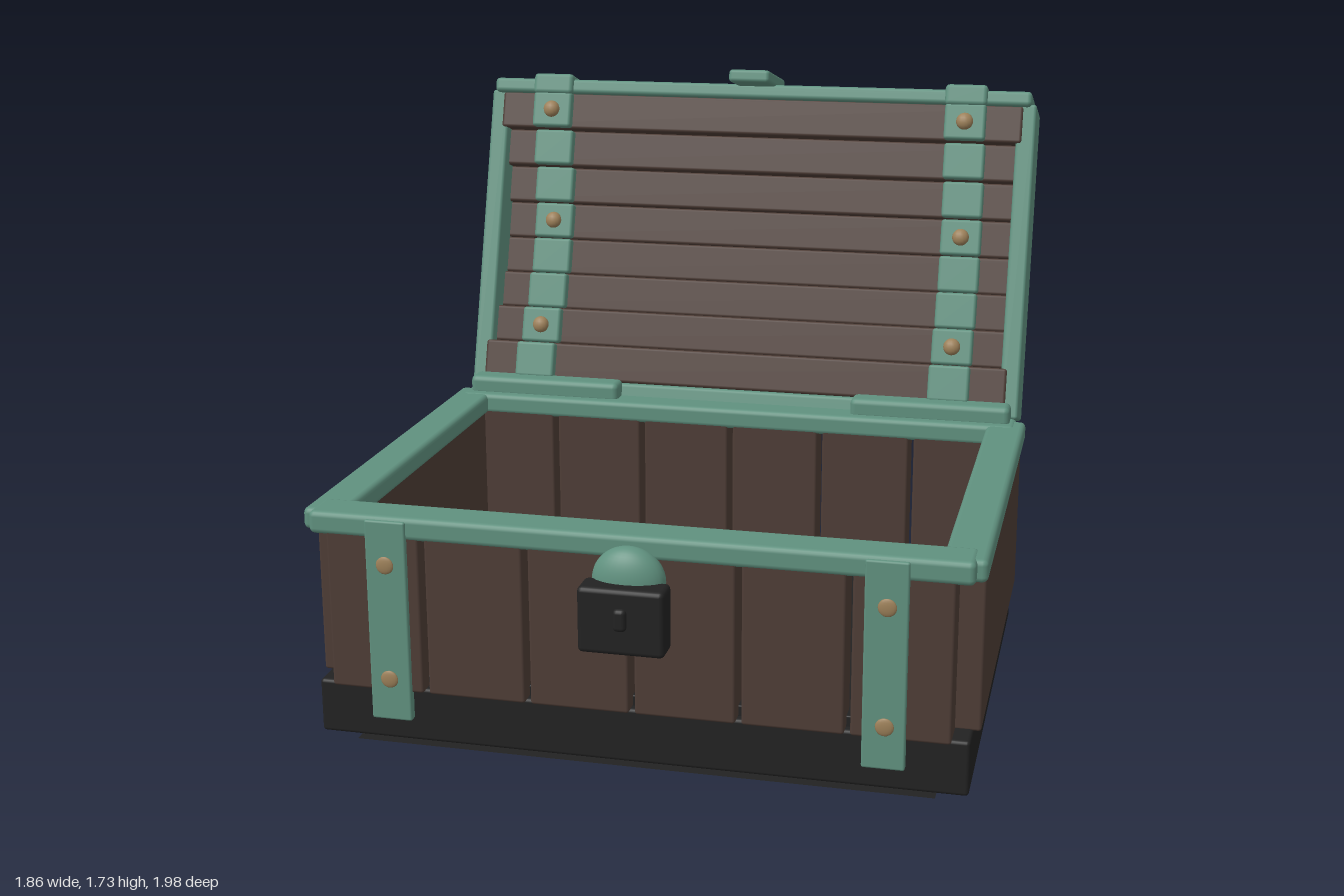
import * as THREE from 'three';
import { RoundedBoxGeometry } from 'three/addons/geometries/RoundedBoxGeometry.js';

const mat = (name, color, side = THREE.FrontSide) => {
  const m = new THREE.MeshStandardMaterial({ color, side });
  m.name = name;
  return m;
};

export function createModel() {
  const wood = mat('dark wood', 0x4e3d36);
  const trim = mat('green metal', 0x60917f);
  const black = mat('black', 0x222222, THREE.DoubleSide);
  const brass = mat('brass', 0x9c8059);
  const blue = mat('blue', 0x5da4b2, THREE.DoubleSide);

  const model = new THREE.Group();
  model.name = 'chest';
  const base = new THREE.Group();
  base.name = 'base';
  const lid = new THREE.Group();
  lid.name = 'lid';
  model.add(base, lid);

  const add = (parent, name, geo, m) => {
    const mesh = new THREE.Mesh(geo, m);
    mesh.name = name;
    parent.add(mesh);
    return mesh;
  };
  // softly bevelled box given by its limits on each axis
  const box = (parent, name, m, [x0, x1], [y0, y1], [z0, z1], r = 0.01) => {
    const w = x1 - x0, h = y1 - y0, d = z1 - z0;
    const geo = new RoundedBoxGeometry(w, h, d, 2, Math.min(r, w / 2.2, h / 2.2, d / 2.2));
    const mesh = add(parent, name, geo, m);
    mesh.position.set((x0 + x1) / 2, (y0 + y1) / 2, (z0 + z1) / 2);
    return mesh;
  };
  const rivet = (parent, x, y, z, r, depth) => {
    const mesh = add(parent, 'rivet', new THREE.SphereGeometry(r, 16, 10), brass);
    mesh.scale.z = depth / r;
    mesh.position.set(x, y, z);
  };

  // plinth, inner floor and underside sheet
  box(base, 'plinth', black, [-0.9, 0.9], [0.03, 0.185], [-0.425, 0.86]);
  box(base, 'floor', black, [-0.82, 0.82], [0.1, 0.215], [-0.4, 0.835], 0.004);
  const under = add(base, 'underside', new THREE.PlaneGeometry(1.62, 1.22), black);
  under.rotation.x = -Math.PI / 2;
  under.position.set(0, 0, 0.217);

  // blue oval lying on the floor
  const oval = add(base, 'floorOval', new THREE.CircleGeometry(1, 40), blue);
  oval.rotation.x = -Math.PI / 2;
  oval.scale.set(0.405, 0.225, 1);
  oval.position.set(0, 0.222, 0.207);

  // front and back planks, six each, with narrow gaps
  const edges = [-0.86, -0.58, -0.29, 0, 0.29, 0.58, 0.86];
  for (const z of [[0.78, 0.88], [-0.445, -0.345]]) {
    for (let i = 0; i < 6; i++) {
      box(base, 'wallPlank', wood, [edges[i] + 0.008, edges[i + 1] - 0.008], [0.18, 0.64], z, 0.008);
    }
  }

  for (const s of [-1, 1]) {
    const span = (a, b) => (s > 0 ? [a, b] : [-b, -a]);
    box(base, 'sideWall', wood, span(0.82, 0.92), [0.18, 0.64], [-0.345, 0.78], 0.008);
    box(base, 'sideRim', trim, span(0.81, 0.928), [0.62, 0.682], [-0.43, 0.855], 0.016);
    box(base, 'hingeBar', trim, span(0.38, 0.88), [0.67, 0.735], [-0.455, -0.375], 0.018);
    // vertical straps with flat rivets
    for (const [z, out] of [[[0.865, 0.893], 0.893], [[-0.458, -0.43], -0.458]]) {
      box(base, 'baseStrap', trim, span(0.62, 0.735), [0.1, 0.675], z, 0.006);
      for (const y of [0.22, 0.55]) rivet(base, s * 0.68, y, out, 0.025, 0.007);
    }
  }
  for (const z of [[0.762, 0.885], [-0.45, -0.342]]) {
    box(base, 'crossRim', trim, [-0.9, 0.9], [0.62, 0.685], z, 0.016);
  }

  // lock with domed shackle
  box(base, 'lockBody', black, [-0.117, 0.117], [0.39, 0.572], [0.9, 0.985], 0.014);
  const dome = add(base, 'lockDome',
    new THREE.SphereGeometry(1, 28, 12, 0, Math.PI * 2, 0, Math.PI / 2), trim);
  dome.scale.set(0.1, 0.095, 0.055);
  dome.position.set(0, 0.565, 0.89);
  box(base, 'keyhole', black, [-0.018, 0.018], [0.46, 0.522], [0.97, 0.998], 0.012);

  // lid, tilted back about the hinge: local y runs along it, -z is its outside
  lid.position.set(0, 0.69, -0.45);
  lid.rotation.x = -0.3;
  const outer = [-0.19, -0.235, -0.275, -0.297, -0.297, -0.275, -0.235, -0.19];
  const pitch = 0.1185, thick = 0.195;
  outer.forEach((z, i) => {
    const y = [0.03 + i * pitch, 0.03 + (i + 1) * pitch];
    const mid = (y[0] + y[1]) / 2;
    box(lid, 'lidStave', wood, [-0.86, 0.86], y, [z, z + thick], 0.01);
    for (const s of [-1, 1]) {
      const x = [s * 0.68 - 0.065, s * 0.68 + 0.065];
      const ys = [y[0] + 0.002, y[1] - 0.002];
      box(lid, 'outerStrap', trim, x, ys, [z - 0.03, z + 0.01]);
      box(lid, 'innerStrap', trim, x, ys, [z + thick - 0.01, z + thick + 0.03]);
      if (i === 1 || i === 4 || i === 7) {
        rivet(lid, s * 0.68, mid, z - 0.032, 0.027, 0.026);
        rivet(lid, s * 0.68, mid, z + thick + 0.032, 0.027, 0.02);
      }
    }
  });
  for (const s of [-1, 1]) {
    box(lid, 'lidEnd', trim, s > 0 ? [0.84, 0.9] : [-0.9, -0.84], [-0.01, 0.985], [-0.2, 0], 0.01);
    const x = [s * 0.68 - 0.067, s * 0.68 + 0.067];
    box(lid, 'strapCap', trim, x, [0.97, 1.037], [-0.235, 0.04], 0.014);
    box(lid, 'strapFoot', trim, x, [-0.045, 0.035], [-0.215, 0.04], 0.014);
  }
  box(lid, 'topRail', trim, [-0.885, 0.885], [0.975, 1.022], [-0.22, 0.025], 0.014);
  box(lid, 'hingeRail', trim, [-0.875, 0.875], [-0.03, 0.03], [-0.2, 0.02], 0.014);

  // hasp tab at the lid's free edge
  const hasp = box(lid, 'hasp', trim, [-0.066, 0.066], [1.015, 1.055], [-0.13, 0.15], 0.012);
  hasp.rotation.x = 0.08;

  return model;
}
